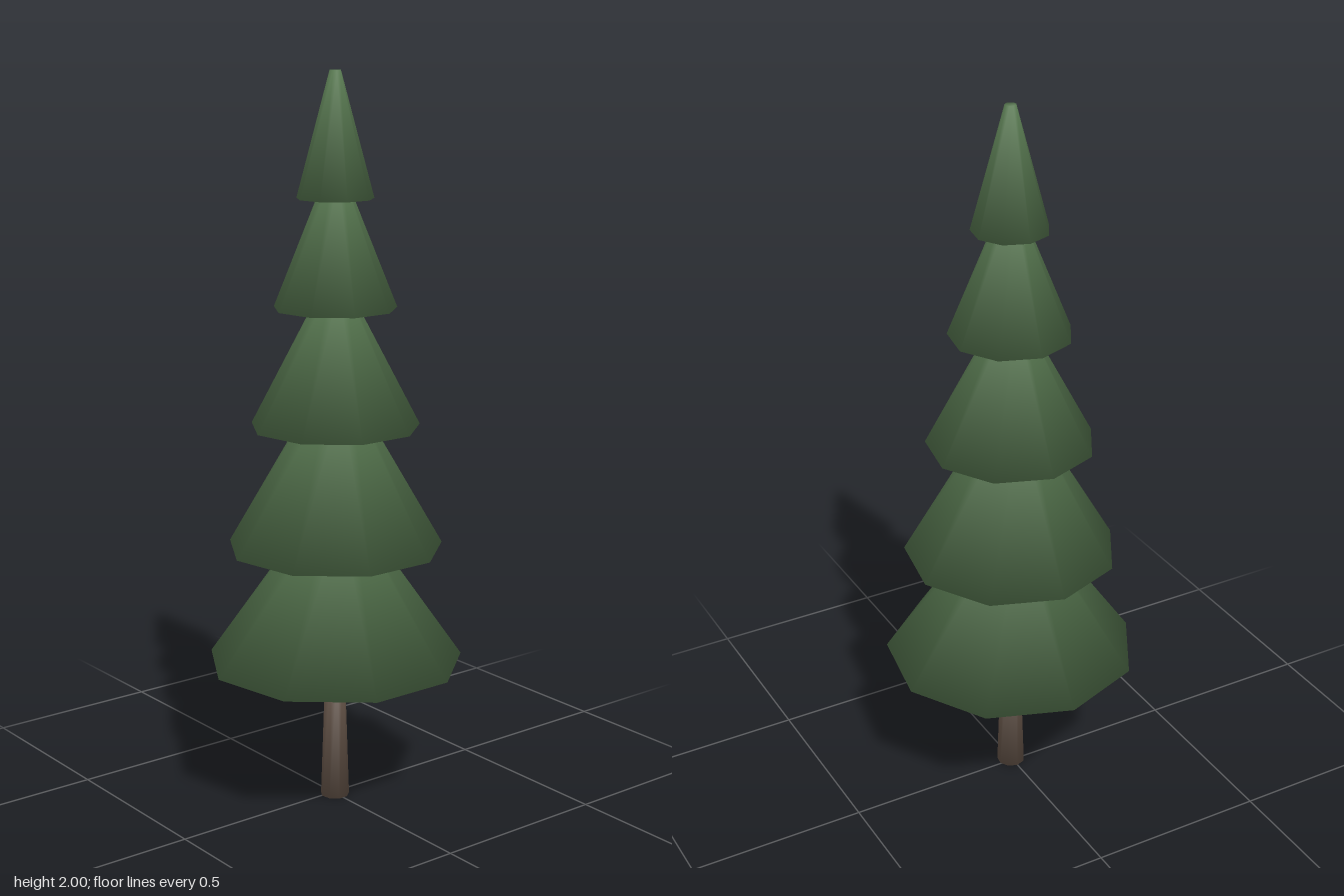
import * as THREE from 'three';

const SIDES = 9;
const CAP_WEIGHT = THREE.MathUtils.degToRad(180 - 360 / SIDES);

// Closed nine-sided frustum whose normals run smoothly over its rims
function frustum(y0, r0, y1, r1) {
  const pos = [], nor = [], index = [];
  const slope = new THREE.Vector2(y1 - y0, r0 - r1).normalize();
  const spread = Math.atan2(y1 - y0, (r0 - r1) * Math.cos(Math.PI / SIDES)); // share of the side faces
  const rings = [
    { y: y0, r: r0, cap: -1, weight: 2 * spread },
    { y: y1, r: r1, cap: 1, weight: 2 * (Math.PI - spread) },
  ];
  for (const { y, r, cap, weight } of rings) {
    for (let i = 0; i < SIDES; i++) {
      const a = Math.PI + (i / SIDES) * Math.PI * 2;
      const s = Math.sin(a), c = Math.cos(a);
      const n = new THREE.Vector3(s * slope.x, slope.y, c * slope.x).multiplyScalar(weight);
      n.y += cap * CAP_WEIGHT;
      n.normalize();
      pos.push(s * r, y, c * r);
      nor.push(n.x, n.y, n.z);
    }
  }
  for (let i = 0; i < SIDES; i++) {
    const j = (i + 1) % SIDES;
    index.push(i, j, SIDES + j, i, SIDES + j, SIDES + i);
  }
  // Flat end caps
  for (let i = 1; i < SIDES - 1; i++) {
    index.push(0, i + 1, i);
    index.push(SIDES, SIDES + i, SIDES + i + 1);
  }
  const g = new THREE.BufferGeometry();
  g.setAttribute('position', new THREE.Float32BufferAttribute(pos, 3));
  g.setAttribute('normal', new THREE.Float32BufferAttribute(nor, 3));
  g.setIndex(index);
  return g;
}

export function createModel() {
  const tree = new THREE.Group();
  tree.name = 'pineTree';

  const needles = new THREE.MeshStandardMaterial({ color: 0x56764f });
  needles.name = 'needleGreen';
  const bark = new THREE.MeshStandardMaterial({ color: 0x665549 });
  bark.name = 'barkBrown';

  const add = (name, material, ...dims) => {
    const mesh = new THREE.Mesh(frustum(...dims), material);
    mesh.name = name;
    mesh.position.z = 0.01; // centres the odd-sided outline
    tree.add(mesh);
  };

  // Tapering trunk
  add('trunk', bark, 0, 0.04, 0.42, 0.026);

  // Foliage tiers: base height, base radius, top height, top radius
  const tiers = [
    [0.4, 0.354, 0.83, 0.055],
    [0.725, 0.296, 1.15, 0.052],
    [1.06, 0.231, 1.44, 0.033],
    [1.38, 0.167, 1.73, 0.026],
    [1.67, 0.104, 2.0, 0.015],
  ];
  tiers.forEach((t, i) => add(`foliageTier${i + 1}`, needles, ...t));

  return tree;
}
